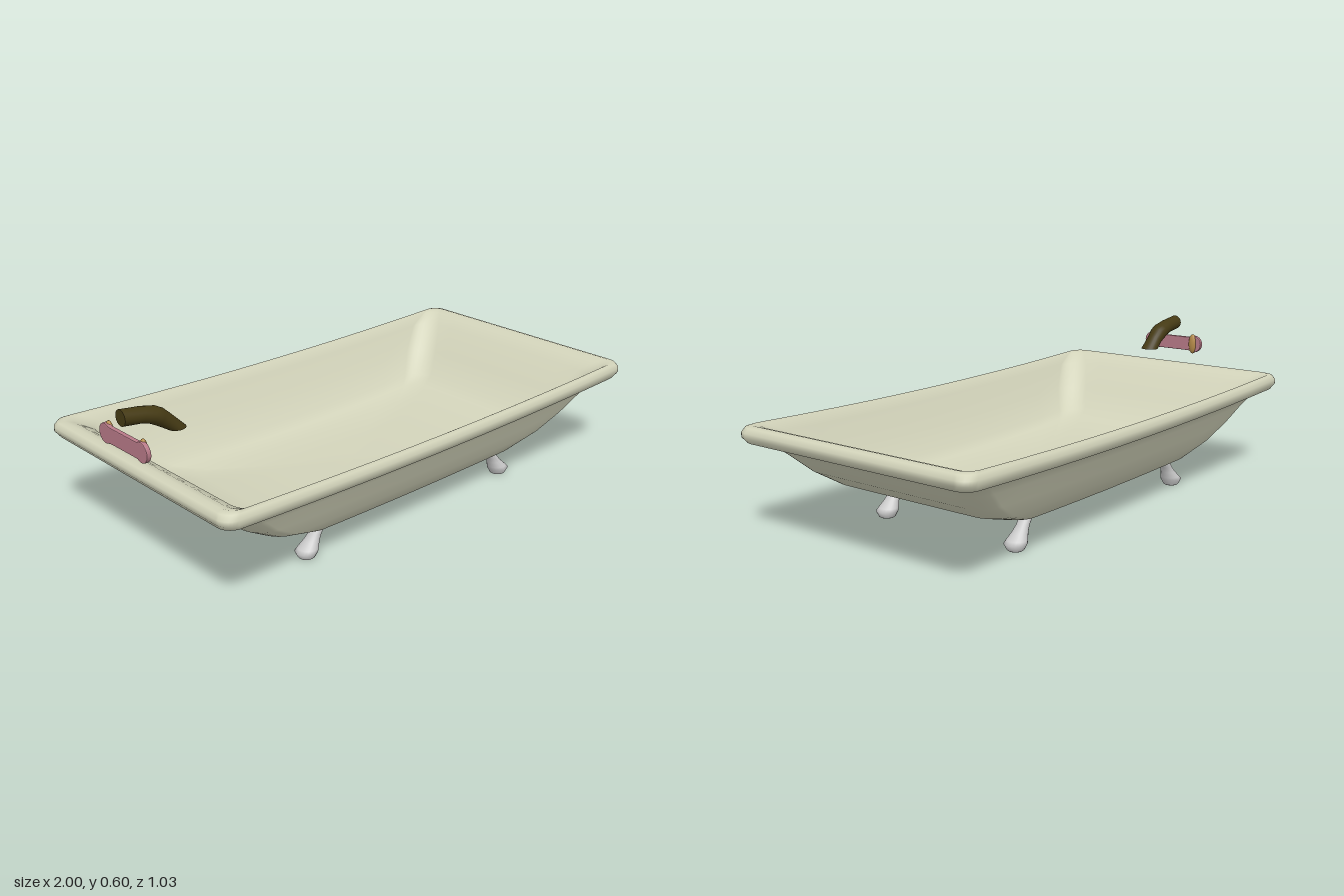
import * as THREE from 'three';

const paint = (color) => new THREE.MeshStandardMaterial({ color, side: THREE.DoubleSide });

function add(parent, name, geometry, material) {
  const mesh = new THREE.Mesh(geometry, material);
  mesh.name = name;
  parent.add(mesh);
  return mesh;
}

// Skin a list of closed rings, each with the same number of [x, y, z] points
function loft(rings) {
  const n = rings[0].length, index = [];
  for (let i = 0; i < rings.length - 1; i++) {
    for (let j = 0; j < n; j++) {
      const k = (j + 1) % n;
      const a = i * n + j, c = i * n + k, b = a + n, d = c + n;
      index.push(a, b, c, b, d, c);
    }
  }
  const g = new THREE.BufferGeometry();
  g.setAttribute('position', new THREE.Float32BufferAttribute(rings.flat(2), 3));
  g.setIndex(index);
  g.computeVertexNormals();
  return g;
}

// Rounded rectangle ring; its height rises towards the ends by lift * x^2
function tubRing([a, b, r, y, lift]) {
  const arc = 7, edge = 10, pts = [];
  const corner = (q, t) => {
    const sx = q === 0 || q === 3 ? 1 : -1, sz = q < 2 ? 1 : -1;
    const ang = (q + t) * Math.PI / 2;
    return [sx * (a - r) + r * Math.cos(ang), sz * (b - r) + r * Math.sin(ang)];
  };
  for (let q = 0; q < 4; q++) {
    for (let i = 0; i <= arc; i++) pts.push(corner(q, i / arc));
    const p = corner(q, 1), s = corner((q + 1) % 4, 0);
    for (let i = 1; i < edge; i++) {
      const t = i / edge;
      pts.push([p[0] + (s[0] - p[0]) * t, p[1] + (s[1] - p[1]) * t]);
    }
  }
  return pts.map(([x, z]) => [x, y + lift * x * x, z]);
}

export function createModel() {
  const model = new THREE.Group();
  model.name = 'bathtub';
  const enamel = paint(0xd2d3ba), grey = paint(0xcccccc);
  const bronze = paint(0x453a14), rose = paint(0xb87a88), brass = paint(0xb48a48);

  const body = new THREE.Group();
  body.name = 'tub';
  body.position.x = 0.006;
  model.add(body);

  // Tub shell: half length, half width, corner radius, height, end lift
  const sections = [
    // underside and outer wall
    [0, 0, 0, 0.088, 0],
    [0.2, 0.13, 0.04, 0.089, 0],
    [0.38, 0.26, 0.08, 0.093, 0],
    [0.55, 0.355, 0.08, 0.112, 0.02],
    [0.70, 0.385, 0.09, 0.16, 0.01],
    [0.80, 0.415, 0.09, 0.215, 0.02],
    [0.87, 0.443, 0.09, 0.275, 0.02],
    [0.905, 0.462, 0.08, 0.308, 0.02],
    // rolled rim
    [0.945, 0.482, 0.06, 0.317, 0.021],
    [0.976, 0.504, 0.05, 0.325, 0.021],
    [0.991, 0.516, 0.05, 0.345, 0.021],
    [0.991, 0.516, 0.05, 0.362, 0.021],
    [0.98, 0.508, 0.05, 0.379, 0.021],
    [0.96, 0.496, 0.05, 0.385, 0.021],
    [0.93, 0.485, 0.05, 0.378, 0.02],
    // inner wall and floor
    [0.875, 0.465, 0.08, 0.347, 0.02],
    [0.80, 0.42, 0.09, 0.255, 0.02],
    [0.72, 0.36, 0.08, 0.17, 0.03],
    [0.67, 0.33, 0.07, 0.14, 0.05],
    [0.55, 0.27, 0.06, 0.122, 0.03],
    [0.3, 0.15, 0.04, 0.115, 0.02],
    [0, 0, 0, 0.113, 0],
  ];
  add(body, 'tubShell', loft(sections.map(tubRing)), enamel);

  // Four feet: turned profile sheared inwards towards the tub
  const profile = [[0, 0], [0.026, 0], [0.03, 0.003], [0.041, 0.024], [0.037, 0.035],
    [0.028, 0.058], [0.023, 0.08], [0.023, 0.13]].map(([r, y]) => new THREE.Vector2(r, y));
  const foot = new THREE.LatheGeometry(profile, 20);
  const pos = foot.attributes.position;
  for (let i = 0; i < pos.count; i++) {
    pos.setX(i, pos.getX(i) - 0.72 * Math.max(0, pos.getY(i) - 0.024));
  }
  foot.computeVertexNormals();
  for (const sx of [1, -1]) {
    for (const sz of [1, -1]) {
      const mesh = add(body, (sz > 0 ? 'front' : 'back') + (sx > 0 ? 'Left' : 'Right') + 'Foot', foot, grey);
      mesh.position.set(sx * 0.5, 0, sz * 0.3);
      mesh.rotation.y = sx > 0 ? 0 : Math.PI;
    }
  }

  const faucet = new THREE.Group();
  faucet.name = 'faucet';
  model.add(faucet);

  // Spout: top x, top y, bottom x, bottom y, half width; repeated ends keep crisp caps
  const spout = [
    [-1, 0.568, -1, 0.568, 0],
    [-1, 0.598, -1, 0.54, 0.029],
    [-1, 0.598, -1, 0.54, 0.029],
    [-0.92, 0.587, -0.93, 0.532, 0.032],
    [-0.865, 0.574, -0.9, 0.523, 0.036],
    [-0.84, 0.56, -0.877, 0.51, 0.035],
    [-0.81, 0.531, -0.855, 0.497, 0.031],
    [-0.76, 0.48, -0.826, 0.478, 0.035],
    [-0.76, 0.48, -0.826, 0.478, 0.035],
    [-0.793, 0.479, -0.793, 0.479, 0],
  ];
  const spoutRings = spout.map(([tx, ty, bx, by, w]) => Array.from({ length: 24 }, (_, j) => {
    const ang = j / 24 * Math.PI * 2, v = (1 + Math.cos(ang)) / 2;
    return [bx + (tx - bx) * v, by + (ty - by) * v, -w * Math.sin(ang)];
  }));
  add(faucet, 'spout', loft(spoutRings), bronze);

  // Wall plate with rounded, slightly wider ends
  const outline = new THREE.Shape();
  outline.moveTo(-0.06, -0.026);
  outline.lineTo(0.06, -0.026);
  outline.absarc(0.104, 0, 0.033, -2.2, 2.2, false);
  outline.lineTo(0.06, 0.026);
  outline.lineTo(-0.06, 0.026);
  outline.absarc(-0.104, 0, 0.033, Math.PI - 2.2, Math.PI + 2.2, false);
  outline.closePath();
  const plate = new THREE.ExtrudeGeometry(outline, {
    depth: 0.01, bevelThickness: 0.004, bevelSize: 0.003, bevelSegments: 2, curveSegments: 16,
  });
  plate.rotateY(Math.PI / 2);
  add(faucet, 'wallPlate', plate, rose).position.set(-0.996, 0.483, 0);

  // Tap handles
  for (const s of [1, -1]) {
    const handle = add(faucet, s > 0 ? 'frontHandle' : 'backHandle',
      new THREE.SphereGeometry(1, 20, 14), brass);
    handle.scale.set(0.014, 0.042, 0.018);
    handle.position.set(-0.985, 0.484, s * 0.1);
  }
  return model;
}
